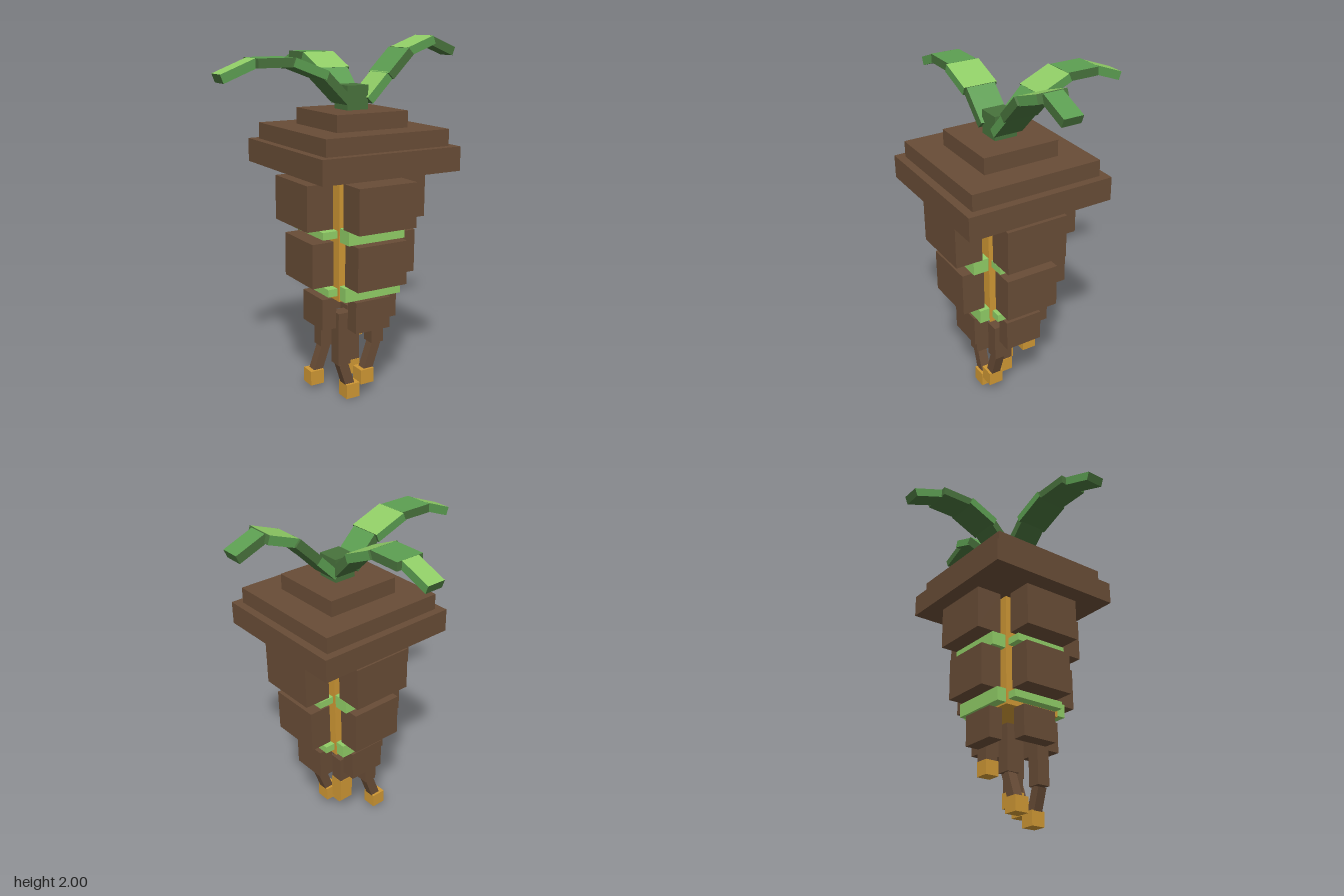
import * as THREE from 'three';

const CX = 0.063, CZ = 0.158; // vertical axis of the body

const mat = (name, color) => Object.assign(new THREE.MeshStandardMaterial({ color }), { name });

export function createModel() {
  const root = new THREE.Group();
  root.name = 'hangingPlant';
  const brown = mat('bark brown', 0x684c36);
  const orange = mat('root orange', 0xce9734);
  const light = mat('light green', 0x90cd66);
  const mid = mat('mid green', 0x5c9e51);
  const dark = mat('dark green', 0x48723c);

  const box = (name, material, w, h, d, x, y, z, parent = root) => {
    const mesh = new THREE.Mesh(new THREE.BoxGeometry(w, h, d), material);
    mesh.name = name;
    mesh.position.set(x, y, z);
    parent.add(mesh);
    return mesh;
  };
  // square or oblong slab on the body axis, between two heights
  const slab = (name, material, w, d, y0, y1) =>
    box(name, material, w, y1 - y0, d, CX, (y0 + y1) / 2, CZ);

  // stepped cap, neck and core
  slab('capRim', brown, 0.835, 0.835, 1.31, 1.44);
  slab('capMiddle', brown, 0.745, 0.745, 1.44, 1.53);
  slab('capTop', brown, 0.435, 0.435, 1.53, 1.62);
  slab('neck', light, 0.207, 0.207, 1.265, 1.31);
  slab('core', orange, 0.362, 0.362, 0.612, 1.265);

  // three tiers of bark plates: [y0, y1, width, inner radius, outer radius]
  for (const [y0, y1, w, r0, r1] of [
    [1.02, 1.265, 0.355, 0.218, 0.372],
    [0.70, 0.943, 0.308, 0.199, 0.328],
    [0.433, 0.61, 0.218, 0.155, 0.241],
  ]) {
    for (let i = 0; i < 4; i++) {
      const a = i * Math.PI / 2, r = (r0 + r1) / 2;
      const plate = box('barkPlate', brown, w, y1 - y0, r1 - r0,
        CX + Math.sin(a) * r, (y0 + y1) / 2, CZ + Math.cos(a) * r);
      plate.rotation.y = a;
    }
  }

  // green cross bars between the tiers
  for (const [y0, y1, length] of [[0.943, 1.02, 0.54], [0.622, 0.70, 0.476]]) {
    slab('frontBackBar', light, 0.352, length, y0, y1);
    slab('sideBar', light, length, 0.33, y0 + 0.019, y1 - 0.017);
  }

  // hanging roots: upper [x, z], knee height, foot [x, y]
  for (const [x, z, knee, fx, fy] of [
    [0.063, CZ, 0.16, 0.063, 0.145],
    [-0.05, 0.25, 0.215, 0.006, 0.045],
    [-0.045, 0.047, 0.255, -0.11, 0.072],
    [0.167, 0.25, 0.305, 0.1, 0.113],
    [0.15, 0.05, 0.34, 0.148, 0.323],
  ]) {
    const top = 0.52;
    box('upperRoot', brown, 0.078, top - knee, 0.078, x, (top + knee) / 2, z);
    box('rootTip', orange, 0.085, 0.085, 0.085, fx, fy, z);
    if (knee - fy > 0.05) {
      const dx = x - fx, dy = knee - fy;
      const lower = box('lowerRoot', brown, 0.056, Math.hypot(dx, dy), 0.056,
        (x + fx) / 2, (knee + fy) / 2, z);
      lower.rotation.z = -Math.atan2(dx, dy);
    }
  }

  // sprout block and three jointed leaves
  slab('sprout', dark, 0.13, 0.13, 1.62, 1.75);
  const segmentWidths = [0.168, 0.195, 0.17, 0.108];
  const leaf = (name, turn, joints, firstLight) => {
    const group = new THREE.Group();
    group.name = name;
    group.position.set(CX, 0, CZ);
    group.rotation.y = turn;
    segmentWidths.forEach((width, i) => {
      const [x0, y0] = joints[i], [x1, y1] = joints[i + 1];
      const bright = (i % 2 === 0) === firstLight;
      const top = bright ? light : mid, side = bright ? mid : dark;
      const segment = box('leafSegment', [dark, dark, top, dark, side, side],
        Math.hypot(x1 - x0, y1 - y0) + 0.008, 0.048, width,
        (x0 + x1) / 2, (y0 + y1) / 2, 0, group);
      segment.rotation.z = Math.atan2(y1 - y0, x1 - x0);
    });
    root.add(group);
  };
  leaf('leftLeaf', 0,
    [[0.07, 1.67], [0.192, 1.795], [0.315, 1.918], [0.476, 1.977], [0.636, 1.913]], true);
  leaf('rightLeaf', Math.PI,
    [[0.06, 1.67], [0.202, 1.81], [0.387, 1.88], [0.582, 1.88], [0.763, 1.81]], false);
  leaf('backLeaf', Math.PI / 2,
    [[0.055, 1.67], [0.195, 1.81], [0.365, 1.885], [0.55, 1.885], [0.723, 1.82]], false);

  return root;
}
